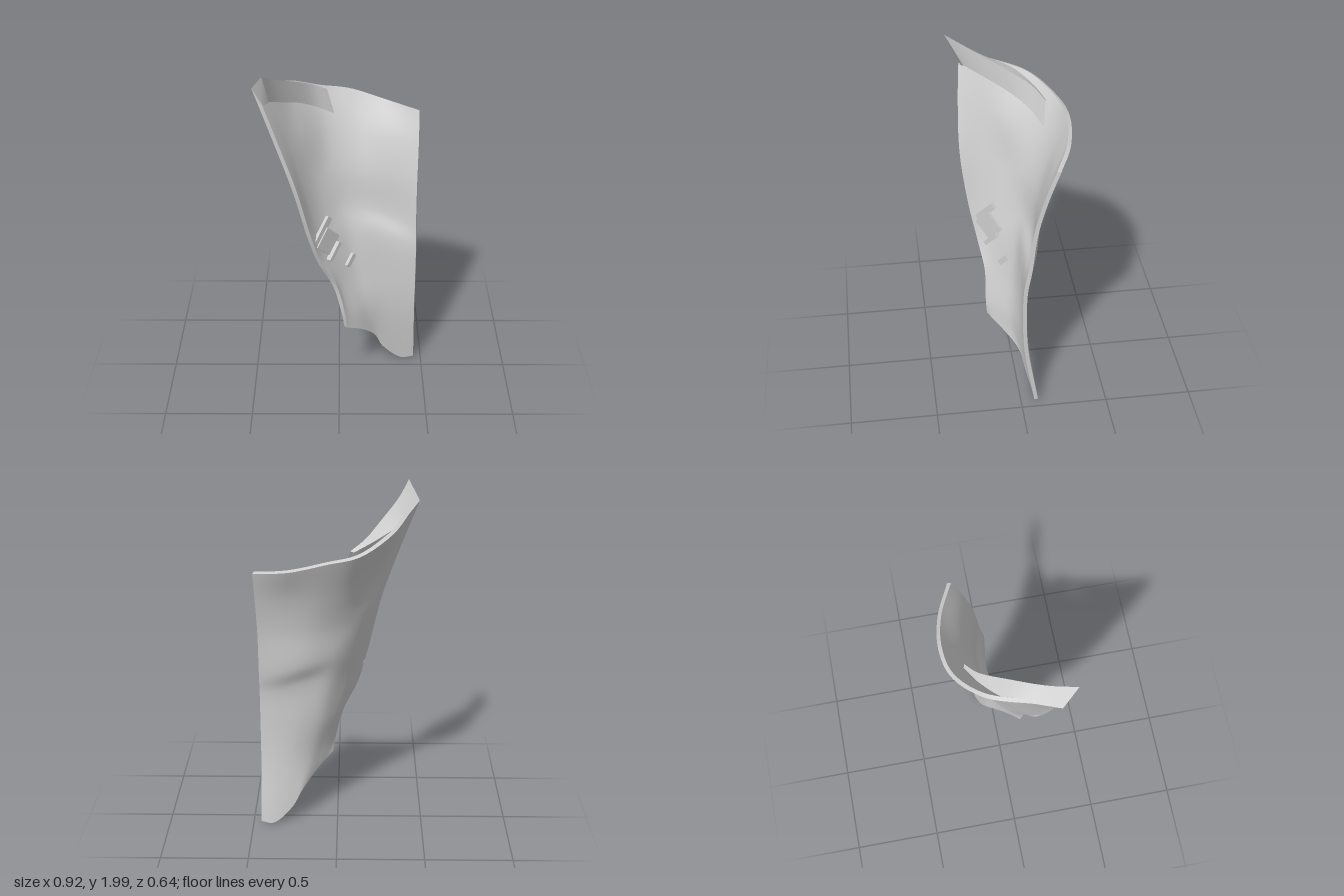
import * as THREE from 'three';
import { mergeGeometries } from 'three/addons/utils/BufferGeometryUtils.js';

const material = new THREE.MeshStandardMaterial({ color: 0xcccccc, side: THREE.DoubleSide });
const V = (p) => new THREE.Vector3(...p);
const curve = (pts) => new THREE.CatmullRomCurve3(pts);

// Smooth surface through a 2D array of points
function sheet(grid) {
  const n = grid[0].length, index = [];
  for (let i = 0; i < grid.length - 1; i++) {
    for (let j = 0; j < n - 1; j++) {
      const a = i * n + j, b = a + n;
      index.push(a, b, a + 1, b, b + 1, a + 1);
    }
  }
  const geometry = new THREE.BufferGeometry().setFromPoints(grid.flat());
  geometry.setIndex(index);
  geometry.computeVertexNormals();
  return geometry;
}

// Points of a surface lofted through control lines
function loft(lines, nu, nv) {
  const curves = lines.map((l) => curve(l.map(V)));
  const grid = Array.from({ length: nu + 1 }, () => []);
  for (let j = 0; j <= nv; j++) {
    const across = curve(curves.map((c) => c.getPoint(j / nv)));
    for (let i = 0; i <= nu; i++) grid[i].push(across.getPoint(i / nu));
  }
  return grid;
}

// Closed shell: outer face, inner face and four rims
function thicken(outer, t) {
  const normals = sheet(outer).attributes.normal;
  const n = outer[0].length;
  const inner = outer.map((col, i) => col.map((p, j) =>
    p.clone().addScaledVector(new THREE.Vector3().fromBufferAttribute(normals, i * n + j), -t)));
  const row = (g, j) => g.map((col) => col[j]);
  return mergeGeometries([
    sheet(outer),
    sheet([...inner].reverse()),
    sheet([inner[0], outer[0]]),
    sheet([outer.at(-1), inner.at(-1)]),
    sheet([row(outer, 0), row(inner, 0)]),
    sheet([row(inner, n - 1), row(outer, n - 1)]),
  ]);
}

// Upright lines of the garment, hem to top, from the centre back to the front edge
const centreBack = [[.455, .02, -.1], [.45, .4, -.04], [.45, .62, -.03], [.45, .82, -.035],
  [.45, .94, -.055], [.45, 1.22, -.09], [.455, 1.42, -.14], [.46, 1.6, -.2]];
const innerBack = [[.38, .01, -.1], [.36, .4, -.05], [.34, .64, -.045], [.32, .86, -.06],
  [.31, .98, -.1], [.3, 1.24, -.13], [.28, 1.45, -.19], [.26, 1.635, -.285]];
const shoulderBlade = [[.27, .1, -.07], [.25, .42, -.04], [.22, .65, -.045], [.17, .91, -.065],
  [.15, 1.03, -.11], [.11, 1.25, -.145], [.08, 1.45, -.21], [.05, 1.69, -.315]];
const outerBack = [[.21, .2, -.04], [.155, .43, .0], [.1, .65, -.015], [.045, .92, -.045],
  [.005, 1.07, -.075], [-.045, 1.28, -.1], [-.085, 1.48, -.16], [-.12, 1.72, -.28]];
const sideFold = [[.12, .3, .05], [.087, .44, .06], [.025, .65, .045], [-.035, .87, .035],
  [-.085, 1.05, .01], [-.158, 1.3, -.005], [-.23, 1.55, -.005], [-.295, 1.8, -.135]];
const sidePanel = [[.07, .34, .1], [.04, .45, .11], [-.02, .65, .105], [-.09, .85, .11],
  [-.145, 1.02, .115], [-.23, 1.32, .13], [-.31, 1.6, .12], [-.4, 1.86, .11]];
const frontEdge = [[.03, .37, .135], [.015, .46, .145], [-.035, .65, .15], [-.12, .82, .18],
  [-.175, 1, .22], [-.255, 1.32, .262], [-.35, 1.6, .255], [-.46, 1.9, .23]];

// Folded collar: seam on the shell, raised ridge, hanging lower edge
const collarSeam = [[-.46, 1.9, .23], [-.4, 1.86, .11], [-.33, 1.825, -.03], [-.2, 1.77, -.145], [-.09, 1.725, -.205]];
const collarRidge = [[-.4, 2, .32], [-.34, 1.93, .18], [-.24, 1.85, 0], [-.15, 1.78, -.14], [-.07, 1.73, -.2]];
const collarHem = [[-.37, 1.82, .22], [-.3, 1.775, .11], [-.2, 1.71, -.035], [-.12, 1.65, -.125], [-.03, 1.59, -.185]];

export function createModel() {
  const model = new THREE.Group();
  const add = (name, geometry, parent = model) => {
    const mesh = new THREE.Mesh(geometry, material);
    mesh.name = name;
    parent.add(mesh);
    return mesh;
  };

  const body = loft([centreBack, innerBack, shoulderBlade, outerBack, sideFold, sidePanel, frontEdge], 60, 80);
  add('garmentShell', thicken(body, 0.022));

  // Collar top band, inner flap and pointed front end
  const strip = (a, b) => sheet([a, b].map((l) => curve(l.map(V)).getPoints(30)));
  add('collarBand', strip(collarSeam, collarRidge));
  add('collarFlap', strip(collarRidge, collarHem));
  add('collarTip', sheet([[V(collarSeam[0]), V(collarRidge[0])], [V([-.41, 1.8, .235]), V(collarHem[0])]]));

  // Strap fastening on the inside of the side panel
  const fastening = new THREE.Group();
  fastening.name = 'strapFastening';
  model.add(fastening);
  const along = V([.09, .15, -.1]).normalize();
  const out = V([.75, .1, .6]);
  out.addScaledVector(along, -out.dot(along)).normalize();
  const basis = new THREE.Matrix4().makeBasis(along, new THREE.Vector3().crossVectors(out, along), out);
  for (const [name, size, position] of [
    ['upperBar', [.19, .04, .02], [-.1, 1, .14]],
    ['strapPatch', [.13, .13, .015], [-.065, .93, .12]],
    ['lowerBar', [.12, .025, .03], [-.03, .86, .11]],
    ['strapEnd', [.08, .03, .02], [.065, .77, .05]],
  ]) {
    const mesh = add(name, new THREE.BoxGeometry(...size), fastening);
    mesh.quaternion.setFromRotationMatrix(basis);
    mesh.position.set(...position);
  }
  return model;
}
